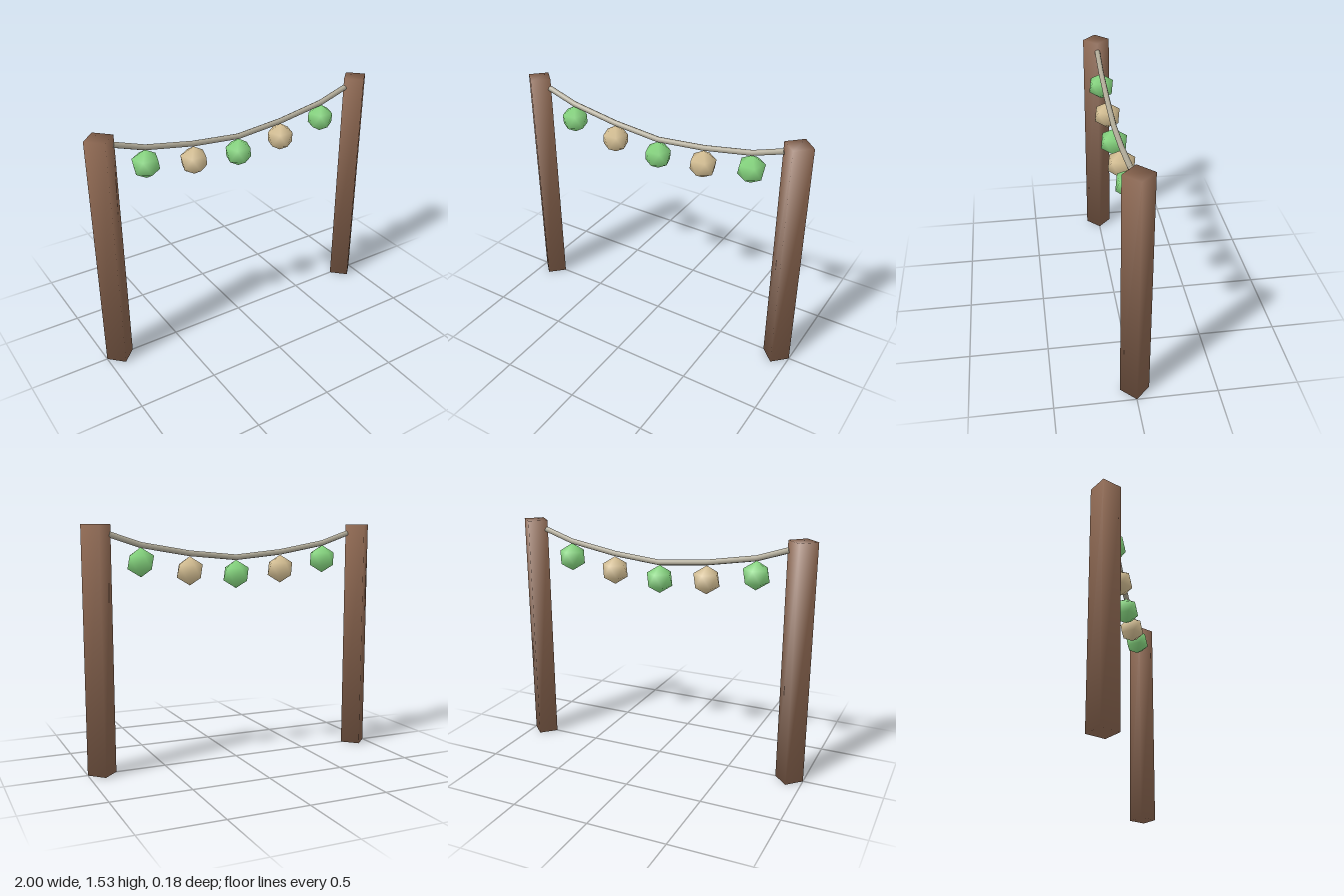
import * as THREE from 'three';

const mat = (name, color) => {
  const m = new THREE.MeshStandardMaterial({ color });
  m.name = name;
  return m;
};

// Softly shaded normals: each vertex points away from the centre of its part
function softNormals(geometry, direction) {
  const p = geometry.attributes.position, n = geometry.attributes.normal, v = new THREE.Vector3();
  for (let i = 0; i < p.count; i++) {
    direction(v.fromBufferAttribute(p, i)).normalize();
    n.setXYZ(i, v.x, v.y, v.z);
  }
  return geometry;
}

export function createModel() {
  const model = new THREE.Group();
  model.name = 'lanternGarland';
  const wood = mat('brown wood', 0x8b6650);
  const cord = mat('grey cord', 0xb0aa98);
  const green = mat('green lantern', 0x86d67f);
  const tan = mat('tan lantern', 0xd6c094);

  const add = (name, geometry, material, x = 0, y = 0, z = 0) => {
    const mesh = new THREE.Mesh(geometry, material);
    mesh.name = name;
    mesh.position.set(x, y, z);
    model.add(mesh);
    return mesh;
  };

  // Square posts turned corner to the front
  const side = 0.09 * Math.SQRT2, height = 1.53;
  const post = softNormals(new THREE.BoxGeometry(side, height, side),
    v => v.set(Math.sign(v.x), Math.sign(v.y), Math.sign(v.z))).rotateY(Math.PI / 4);
  add('leftPost', post, wood, 0.91, height / 2);
  add('rightPost', post, wood, -0.91, height / 2);

  // Sagging rope, with one bend above each lantern
  const half = [[0.83, 1.47], [0.635, 1.405], [0.318, 1.35]];
  const points = [
    ...half.map(([x, y]) => new THREE.Vector3(-x, y, 0)),
    new THREE.Vector3(0, 1.32, 0),
    ...half.slice().reverse().map(([x, y]) => new THREE.Vector3(x, y, 0)),
  ];
  const curve = new THREE.CatmullRomCurve3(points);
  curve.getPointAt = curve.getPoint; // keeps the rings exactly on the bends
  curve.getTangentAt = curve.getTangent;
  add('rope', new THREE.TubeGeometry(curve, points.length - 1, 0.018, 8), cord);

  // Rope ends
  for (const [t, dir] of [[0, -1], [1, 1]]) {
    const p = curve.getPoint(t);
    const cap = add('ropeEnd', new THREE.CircleGeometry(0.018, 8), cord, p.x, p.y, p.z);
    cap.lookAt(p.clone().addScaledVector(curve.getTangent(t), dir));
  }

  // Faceted lanterns standing on a corner
  const lantern = softNormals(new THREE.IcosahedronGeometry(0.091, 0), v => v)
    .rotateZ(Math.atan(2 / (1 + Math.sqrt(5))))
    .rotateY(-Math.PI / 2);
  const heights = [1.3, 1.24, 1.213, 1.24, 1.3];
  heights.forEach((y, i) =>
    add('lantern' + (i + 1), lantern, i % 2 ? tan : green, (i - 2) * 0.318, y));

  return model;
}
